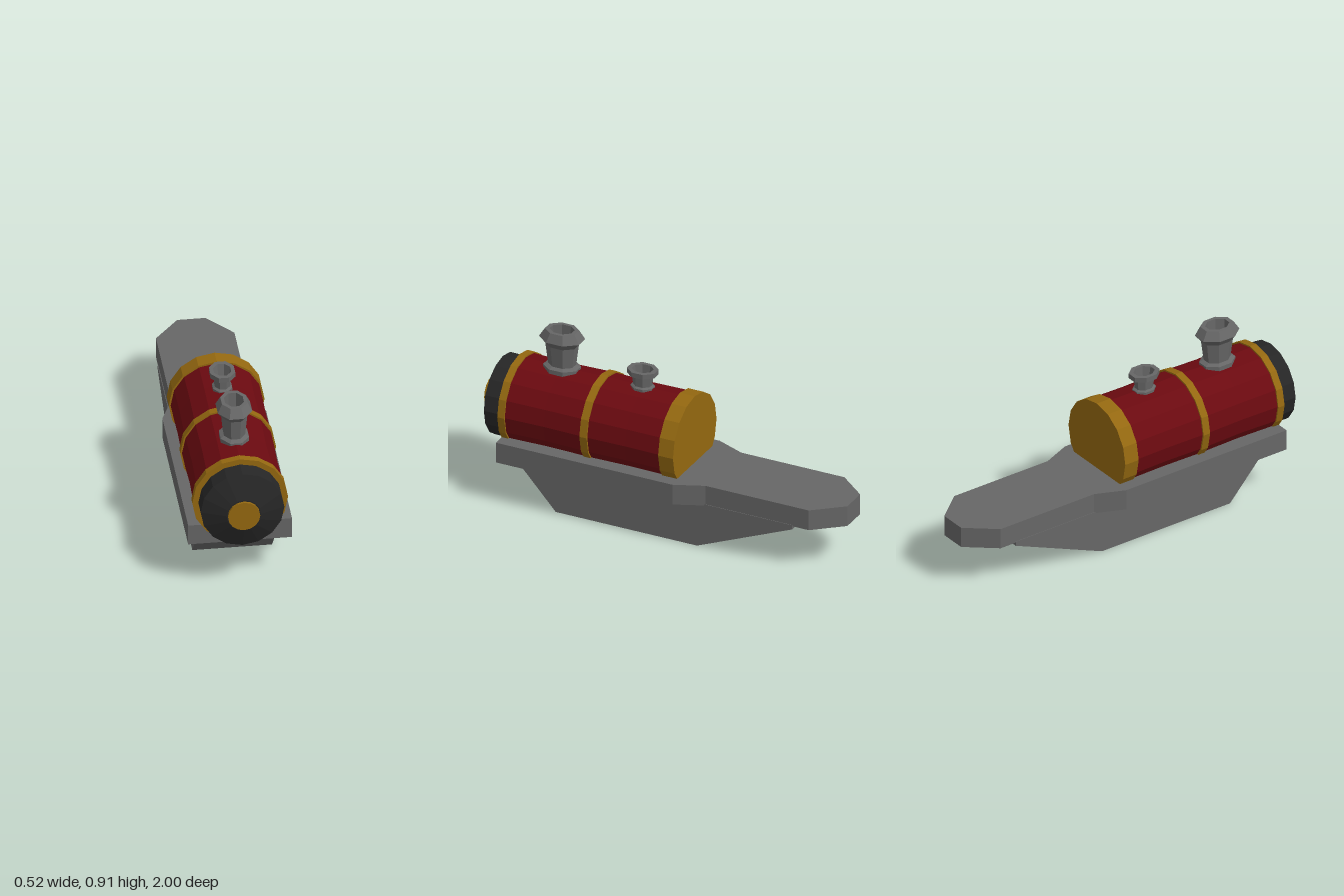
import * as THREE from 'three';

const mat = (color) => new THREE.MeshStandardMaterial({ color, flatShading: true });

export function createModel() {
  const model = new THREE.Group();
  model.name = 'steamEngineBoat';
  const grey = mat(0x666666), red = mat(0x6b0a10), gold = mat(0x946810), black = mat(0x262626);

  const add = (name, geometry, material, parent = model) => {
    const mesh = new THREE.Mesh(geometry, material);
    mesh.name = name;
    parent.add(mesh);
    return mesh;
  };
  const points = (list) => list.map(([a, b]) => new THREE.Vector2(a, b));
  const extrude = (list, depth) =>
    new THREE.ExtrudeGeometry(new THREE.Shape(points(list)), { depth, bevelEnabled: false });

  // Deck: plan outline mirrored about the centre line, y of the outline is -z
  const half = [[0.258, -0.845], [0.258, 0.13], [0.195, 0.28], [0.195, 0.85], [0.07, 1]];
  const plan = [...half, ...half.map(([x, y]) => [-x, y]).reverse()];
  add('deck', extrude(plan, 0.11).rotateX(-Math.PI / 2), grey).position.y = 0.233;

  // Keel: side profile (z, y) extruded across the width
  const keel = extrude([[0.545, 0], [0.765, 0.24], [-0.76, 0.24], [-0.76, 0.217], [-0.235, 0]], 0.396);
  add('keel', keel.translate(0, 0, -0.198).rotateY(-Math.PI / 2), grey);

  // Boiler: 16-sided turned parts along z, profiles are (radius, z)
  const boiler = new THREE.Group();
  boiler.name = 'boiler';
  boiler.position.y = 0.475;
  model.add(boiler);
  const turn = (name, profile, material) =>
    add(name, new THREE.LatheGeometry(points(profile), 16).rotateX(Math.PI / 2), material, boiler);

  turn('boilerBarrel', [[0.229, -0.06], [0.226, 0.15], [0.23, 0.375], [0.225, 0.6], [0.231, 0.83]], red);
  const bands = [['rearBand', -0.122, -0.04], ['middleBand', 0.355, 0.395], ['frontBand', 0.81, 0.848]];
  for (const [name, z0, z1] of bands) {
    turn(name, [[0, z0], [0.238, z0], [0.238, z1], [0, z1]], gold);
  }
  turn('smokeboxDoor', [[0.208, 0.84], [0.208, 0.937], [0.086, 0.987], [0, 0.987]], black);
  turn('doorBoss', [[0.08, 0.98], [0.08, 1], [0, 1]], gold);

  // Hollow stacks: octagonal, narrower in x, flats facing forward; profiles are (half length, y)
  const stack = (name, z, squash, profile) => {
    const k = 1 / Math.cos(Math.PI / 8);
    const geometry = new THREE.LatheGeometry(points(profile.map(([r, y]) => [r * k, y])), 8, Math.PI / 8);
    add(name, geometry.scale(squash, 1, 1), grey).position.z = z;
  };
  stack('chimney', 0.61, 0.78, [
    [0.09, 0.66], [0.09, 0.71], [0.067, 0.72], [0.08, 0.83], [0.11, 0.865],
    [0.082, 0.91], [0.06, 0.91], [0.052, 0.78], [0, 0.78],
  ]);
  stack('steamDome', 0.165, 0.82, [
    [0.058, 0.66], [0.058, 0.705], [0.046, 0.712], [0.05, 0.762], [0.075, 0.772],
    [0.075, 0.798], [0.052, 0.798], [0.04, 0.735], [0, 0.735],
  ]);

  return model;
}
